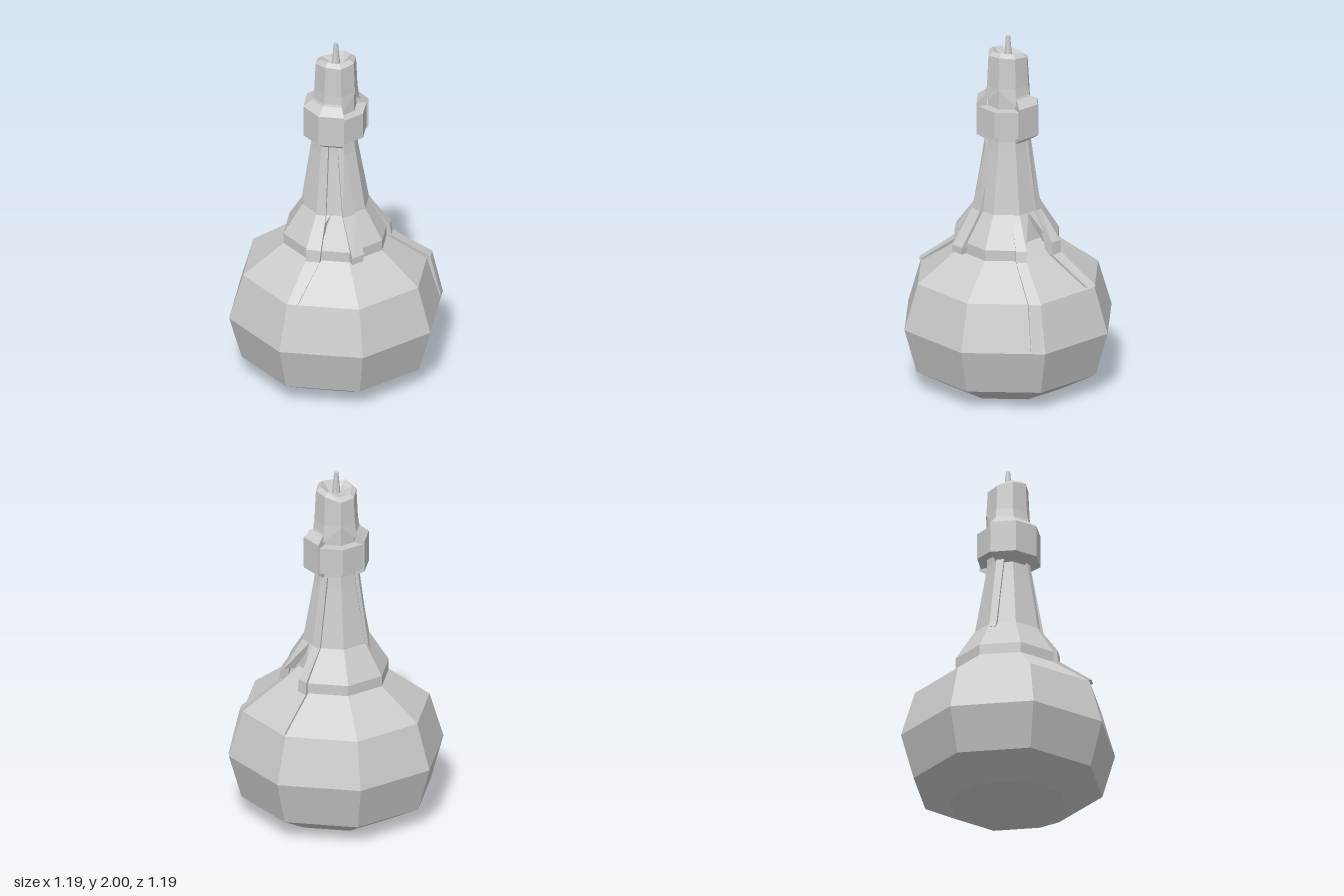
import * as THREE from 'three';

const DEG = Math.PI / 180;
const OFFSET = 4.3; // turn of the eight-sided body, in degrees
const material = new THREE.MeshStandardMaterial({ color: 0xcccccc, flatShading: true, side: THREE.DoubleSide });

function add(group, name, geometry) {
  const mesh = new THREE.Mesh(geometry, material);
  mesh.name = name;
  group.add(mesh);
  return mesh;
}

// Eight-sided turned shape; first and count pick a run of its facets
function turned(profile, first = 0, count = 8) {
  return new THREE.LatheGeometry(profile.map(([r, y]) => new THREE.Vector2(r, y)),
    count, (OFFSET + first * 45) * DEG, count * 45 * DEG);
}

// Point on the flat facets of an octagon with corner radius R, lifted outward
function onFacet(phi, R, y, lift = 0) {
  const d = (((phi - OFFSET) % 45) + 45) % 45 - 22.5;
  const r = R * Math.cos(22.5 * DEG) / Math.cos(d * DEG) + lift;
  return [r * Math.sin(phi * DEG), y, r * Math.cos(phi * DEG)];
}

function meshFrom(points, index) {
  const g = new THREE.BufferGeometry();
  g.setAttribute('position', new THREE.Float32BufferAttribute(points.flat(), 3));
  g.setIndex(index);
  g.computeVertexNormals();
  return g;
}

// Run of wax: rows of [angle from, angle to, radius, height, thickness]
function drip(rows) {
  const points = [], index = [];
  rows.forEach(([a, b, R, y, t = 0.02], i) => {
    points.push(onFacet(a, R, y, -0.03), onFacet(a, R, y, t), onFacet(b, R, y, t), onFacet(b, R, y, -0.03));
    if (!i) return;
    for (let k = 0; k < 4; k++) {
      const p = i * 4 - 4 + k, q = i * 4 - 4 + (k + 1) % 4;
      index.push(p, p + 4, q, q, p + 4, q + 4);
    }
  });
  const n = points.length;
  index.push(0, 1, 2, 0, 2, 3, n - 4, n - 2, n - 3, n - 4, n - 1, n - 2);
  return meshFrom(points, index);
}

// Collar facet with a V-shaped notch, starting at the given corner angle
function notched(start, apex, foot) {
  const low = 0.79, mid = 0.85, top = 1.02;
  const points = [
    onFacet(start, 0.187, top), onFacet(start + apex, 0.187, top), onFacet(start, 0.293, mid),
    onFacet(start + 45, 0.187, top), onFacet(start + 45, 0.293, mid), onFacet(start + foot, 0.293, mid),
    onFacet(start + 45, 0.293, low), onFacet(start + foot, 0.293, low),
    onFacet(start + apex, 0.17, top - 0.02), onFacet(start, 0.23, mid), onFacet(start + foot, 0.23, mid),
  ];
  return meshFrom(points, [0, 2, 1, 1, 5, 3, 3, 5, 4, 5, 7, 4, 4, 7, 6,
    1, 2, 9, 1, 9, 8, 1, 8, 5, 5, 8, 10, 5, 10, 7]);
}

export function createModel() {
  const model = new THREE.Group();
  model.name = 'candleBottle';

  // Bottle with rounded belly and long neck
  add(model, 'bottle', turned([[0, 0], [0.33, 0], [0.527, 0.11], [0.598, 0.36], [0.52, 0.62],
    [0.293, 0.79], [0.205, 0.86], [0.185, 1.02], [0.125, 1.36], [0.118, 1.42], [0.115, 1.75]]));
  add(model, 'neckRing', turned([[0.1, 1.46], [0.172, 1.46], [0.172, 1.61], [0.1, 1.61]]));

  // Wax collar around the shoulder
  const collar = [[0.28, 0.79], [0.293, 0.79], [0.293, 0.85], [0.187, 1.02]];
  add(model, 'collarBack', turned(collar, 2, 4));
  add(model, 'collarFront', turned(collar, 7, 2));
  add(model, 'collarNotchLeft', notched(OFFSET + 45, 20, 38));
  add(model, 'collarNotchRight', notched(OFFSET - 90, 22, 12));

  // Wax wrapped over the ring, leaving two pairs of facets bare
  const wrap = [[0.12, 1.41], [0.182, 1.45], [0.182, 1.63], [0.132, 1.67], [0.12, 1.7]];
  for (const [first, count] of [[1, 1], [4, 3]]) {
    add(model, 'ringWax', turned(wrap, first, count));
    for (const end of [first, first + count]) { // closed ends
      const phi = (OFFSET + end * 45) * DEG;
      const shape = new THREE.Shape(wrap.map(([r, y]) => new THREE.Vector2(r, y)));
      add(model, 'ringWaxEnd', new THREE.ShapeGeometry(shape)).rotation.y = phi - Math.PI / 2;
    }
  }

  // Candle stub: hem peaks over the bare facets, uneven rim
  const stub = turned([[0.134, 1.63], [0.121, 1.73], [0.113, 1.89], [0.088, 1.91], [0.045, 1.88], [0, 1.88]]);
  const pos = stub.attributes.position;
  const rim = [0.02, 0.015, 0.005, -0.03, -0.02, 0, 0.015, 0.01];
  for (let i = 0; i < pos.count; i++) {
    const row = i % 6, column = Math.floor(i / 6) % 8;
    if (row === 0 && (column === 0 || column === 3)) {
      const phi = (OFFSET + column * 45) * DEG;
      pos.setXYZ(i, 0.122 * Math.sin(phi), 1.72, 0.122 * Math.cos(phi));
    }
    if (row === 2 || row === 3) pos.setY(i, pos.getY(i) + rim[column] * 0.8);
  }
  add(model, 'candleStub', stub);
  add(model, 'wick', new THREE.CylinderGeometry(0.012, 0.024, 0.13, 8)).position.y = 1.935;

  // Wax drips
  add(model, 'longFrontDrip', drip([[36, 49, 0.187, 1.0, 0.01], [38, 49, 0.293, 0.85, 0.015],
    [38, 48, 0.3, 0.79], [42, 49, 0.52, 0.625], [42, 48, 0.592, 0.37, 0.01]]));
  add(model, 'leftDrip', drip([[86, 104, 0.123, 1.42, 0.012], [84, 99, 0.186, 1.02, 0.012],
    [83, 95, 0.293, 0.86], [83, 95, 0.3, 0.79], [88, 94, 0.51, 0.63]]));
  add(model, 'rightDrip', drip([[-92, -74, 0.123, 1.42, 0.012], [-88, -72, 0.186, 1.02, 0.012],
    [-86, -71, 0.293, 0.86], [-86, -72, 0.3, 0.79], [-85, -79, 0.51, 0.63]]));
  add(model, 'frontNeckDrip', drip([[-50, -36, 0.123, 1.4, 0.012], [-44, -22, 0.186, 1.02, 0.02],
    [-39, -25, 0.298, 0.83, 0.03], [-39, -26, 0.298, 0.79, 0.03]]));
  add(model, 'backNeckDrip', drip([[188, 206, 0.123, 1.42, 0.015], [186, 197, 0.185, 1.02, 0.018],
    [187, 196, 0.195, 0.99, 0.015]]));

  return model;
}
